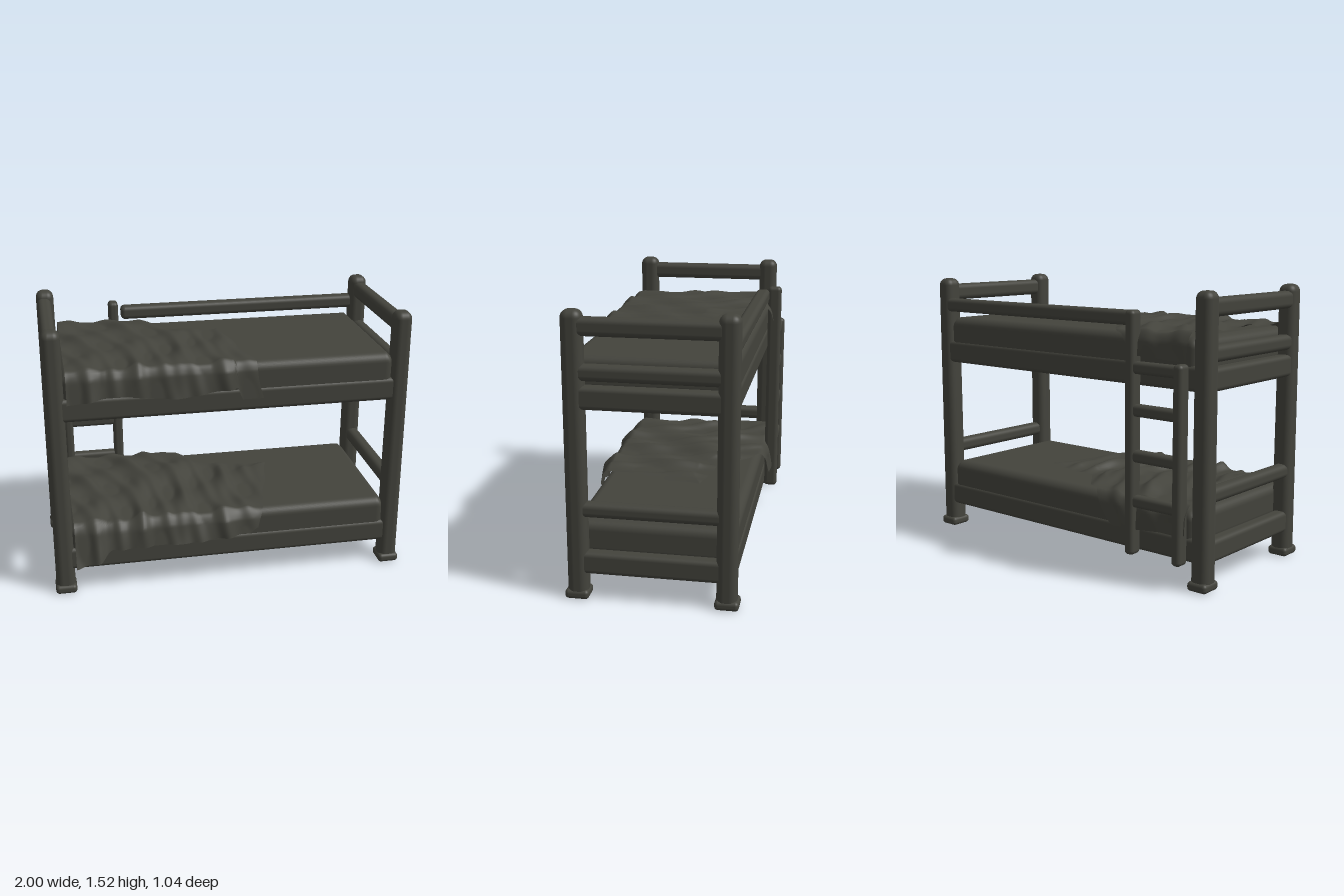
import * as THREE from 'three';
import { RoundedBoxGeometry } from 'three/addons/geometries/RoundedBoxGeometry.js';

const darkOlive = new THREE.MeshStandardMaterial({ color: 0x43433c, side: THREE.DoubleSide });
darkOlive.name = 'darkOlive';

// Rounded box given by its extents on each axis
function bar(parent, name, [x0, x1], [y0, y1], [z0, z1], radius = 0.025, edit) {
  const geo = new RoundedBoxGeometry(x1 - x0, y1 - y0, z1 - z0, 4, radius);
  geo.translate((x0 + x1) / 2, (y0 + y1) / 2, (z0 + z1) / 2);
  if (edit) edit(geo);
  const mesh = new THREE.Mesh(geo, darkOlive);
  mesh.name = name;
  parent.add(mesh);
  return mesh;
}

// Smooth interpolation through [position, value] pairs
function follow(pairs, t) {
  for (let i = 1; i < pairs.length; i++) {
    const [a, va] = pairs[i - 1], [b, vb] = pairs[i];
    if (t <= b) return va + (vb - va) * THREE.MathUtils.smoothstep(t, a, b);
  }
  return pairs[pairs.length - 1][1];
}

// Rumpled sheet lying on a mattress and hanging over both long edges
function blanket(parent, name, o) {
  const NU = 110, NV = 110, edge = 0.425, pos = [], idx = [];
  for (let i = 0; i <= NU; i++) {
    const u = i / NU;
    const back = follow(o.back, u), front = edge + follow(o.hang, u);
    for (let j = 0; j <= NV; j++) {
      const v = j / NV, s = back + (front - back) * v;
      const x = -0.88 + u * (o.width + o.skew * v) + 0.006 * Math.sin(s * 21) * u;
      // slanted folds that fade towards the free edges
      const p = x * 1.0 - s * (0.35 - 0.12 * u) + 0.05 * Math.sin(s * 4 + x * 3);
      const fold = Math.pow(0.5 + 0.5 * Math.sin(p * 38), 2) * 0.55
        + Math.pow(0.5 + 0.5 * Math.sin(p * 23 + s * 6 + 1), 3) * 0.6
        + 0.25 * Math.sin(x * 13 + s * 17);
      const fade = Math.min(1, 0.25 + 6 * Math.min(1 - u, v, 0.2 + 1 - v));
      const bump = o.bump * Math.exp(-(((x + 0.32) / 0.2) ** 2) - ((s + 0.12) / 0.16) ** 2);
      const lift = 0.01 + Math.max(0, o.fold * fold * fade) + bump;
      const h = Math.abs(s) - edge;
      if (h <= 0) {
        pos.push(x, o.top + lift, s);
      } else {
        const round = 0.02 * (1 - Math.exp(-h / 0.02));
        const out = s > 0 ? o.flare : 0.12;
        const z = edge + round + out * h + 0.8 * lift * Math.min(1, h / 0.05);
        pos.push(x, o.top + lift * Math.exp(-h / 0.04) - h + round * 0.7, Math.sign(s) * z);
      }
      if (i < NU && j < NV) {
        const a = i * (NV + 1) + j, b = a + NV + 1;
        idx.push(a, a + 1, b, b, a + 1, b + 1);
      }
    }
  }
  const geo = new THREE.BufferGeometry();
  geo.setAttribute('position', new THREE.Float32BufferAttribute(pos, 3));
  geo.setIndex(idx);
  geo.computeVertexNormals();
  const mesh = new THREE.Mesh(geo, darkOlive);
  mesh.name = name;
  parent.add(mesh);
}

// Bunk: frame, slats and mattress, with y at the bottom of the frame
function bunk(parent, name, y) {
  const g = new THREE.Group();
  g.name = name;
  for (const s of [-1, 1]) {
    const span = (a, b) => (s > 0 ? [a, b] : [-b, -a]);
    bar(g, 'sideRail', [-0.93, 0.93], [y, y + 0.13], span(0.355, 0.432), 0.025);
    bar(g, 'endRail', span(0.905, 0.985), [y, y + 0.12], [-0.38, 0.38], 0.025);
  }
  for (let i = 0; i < 25; i++) {
    const x = -0.88 + i * (1.76 / 24);
    bar(g, 'slat', [x - 0.026, x + 0.026], [y + 0.045, y + 0.075], [-0.37, 0.37], 0.008);
  }
  // mattress with a slightly domed top
  bar(g, 'mattress', [-0.905, 0.905], [y + 0.07, y + 0.27], [-0.425, 0.425], 0.05, (geo) => {
    const p = geo.attributes.position;
    for (let i = 0; i < p.count; i++) {
      if (p.getY(i) > y + 0.17 && Math.abs(p.getX(i)) > 0.87) p.setY(i, p.getY(i) - 0.008);
    }
  });
  parent.add(g);
}

export function createModel() {
  const bed = new THREE.Group();
  bed.name = 'bunkBed';

  // Corner posts with flared feet, and end rails
  for (const sx of [-1, 1]) {
    const spanX = (a, b) => (sx > 0 ? [a, b] : [-b, -a]);
    for (const sz of [-1, 1]) {
      const spanZ = (a, b) => (sz > 0 ? [a, b] : [-b, -a]);
      bar(bed, 'cornerPost', spanX(0.888, 0.995), [0.005, 1.52], spanZ(0.335, 0.443), 0.04, (geo) => {
        const p = geo.attributes.position, cx = sx * 0.9415, cz = sz * 0.389;
        for (let i = 0; i < p.count; i++) {
          const y = p.getY(i);
          if (y < 1.4) continue;
          const k = 1 - 0.12 * (y - 1.4) / 0.12;
          p.setX(i, cx + (p.getX(i) - cx) * k);
        }
      });
      bar(bed, 'foot', spanX(0.882, 1.0), [0, 0.05], spanZ(0.328, 0.455), 0.02);
    }
    bar(bed, 'headRail', spanX(0.91, 0.985), [1.39, 1.485], [-0.38, 0.38], 0.03);
    bar(bed, 'upperEndRail', spanX(0.91, 0.985), [1.165, 1.25], [-0.38, 0.38], 0.03);
    bar(bed, 'lowerEndRail', spanX(0.91, 0.985), [0.45, 0.53], [-0.38, 0.38], 0.03);
  }

  bunk(bed, 'lowerBunk', 0.14);
  bunk(bed, 'upperBunk', 1.02);

  // Guard rail along the back
  bar(bed, 'guardRail', [-0.505, 0.92], [1.325, 1.402], [-0.442, -0.362], 0.025);

  // Ladder on the back
  const ladder = new THREE.Group();
  ladder.name = 'ladder';
  bar(ladder, 'tallUpright', [-0.572, -0.515], [0.13, 1.412], [-0.51, -0.43], 0.022);
  bar(ladder, 'shortUpright', [-0.875, -0.82], [0.13, 1.16], [-0.51, -0.43], 0.022);
  for (const y of [0.42, 0.66, 0.9, 1.12]) {
    bar(ladder, 'rung', [-0.84, -0.55], [y - 0.032, y + 0.032], [-0.5, -0.44], 0.022);
  }
  bed.add(ladder);

  // Blankets
  blanket(bed, 'upperBlanket', {
    top: 1.29, width: 0.91, skew: 0.13, fold: 0.026, bump: 0, flare: 0.1,
    back: [[0, -0.56], [0.36, -0.55], [0.5, -0.44], [0.74, -0.2], [1, -0.16]],
    hang: [[0, 0.17], [0.25, 0.14], [0.55, 0.17], [0.85, 0.14], [0.87, 0.13], [0.89, 0.2], [1, 0.2]],
  });
  blanket(bed, 'lowerBlanket', {
    top: 0.41, width: 1.21, skew: -0.18, fold: 0.034, bump: 0.035, flare: 0.2,
    back: [[0, -0.56], [0.38, -0.59], [0.55, -0.4], [0.72, -0.2], [1, -0.15]],
    hang: [[0, 0.24], [0.12, 0.21], [0.2, 0.15], [0.6, 0.15], [0.95, 0.13], [1, 0.1]],
  });

  return bed;
}
